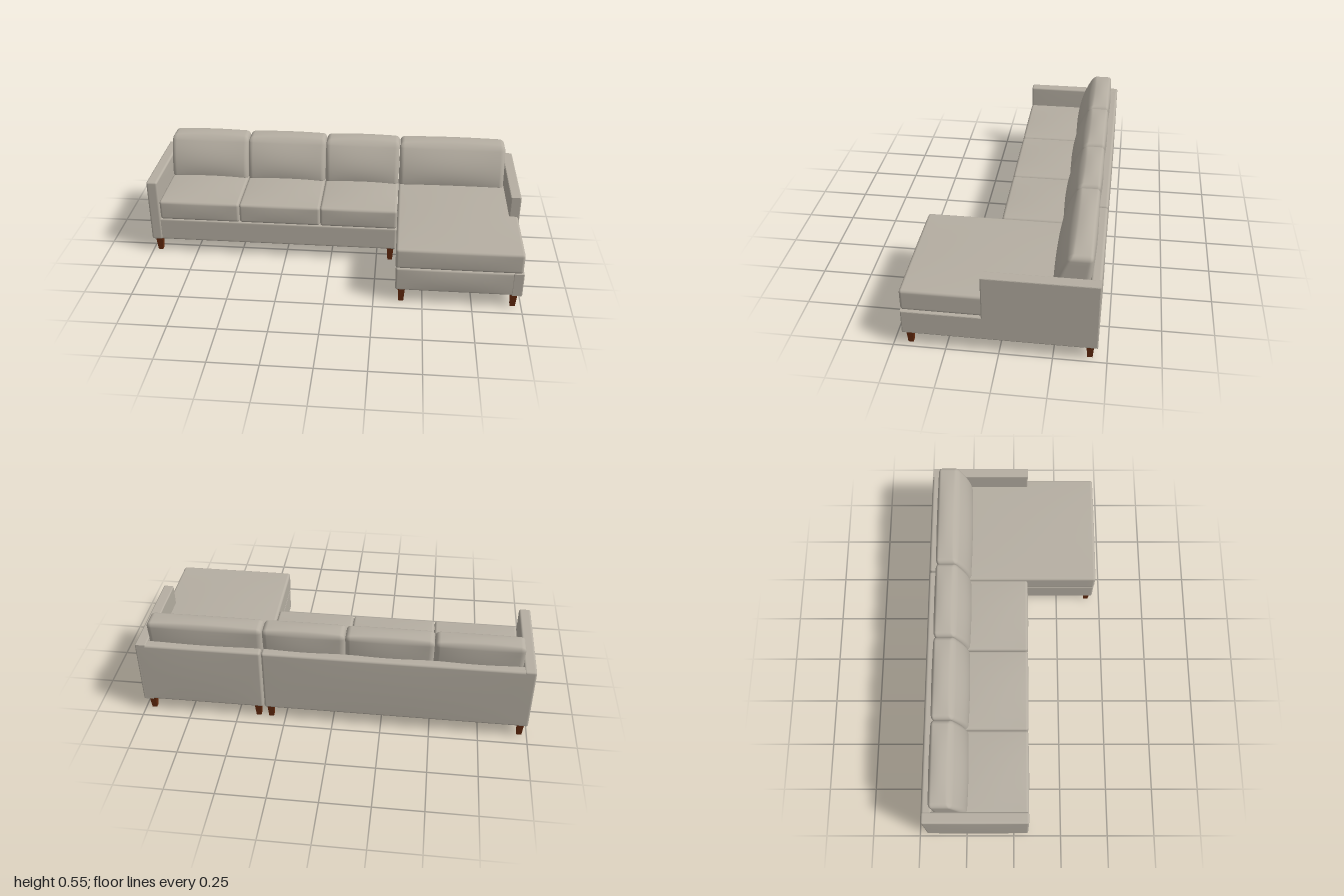
import * as THREE from 'three';
import { mergeVertices } from 'three/addons/utils/BufferGeometryUtils.js';

const fabric = new THREE.MeshStandardMaterial({ color: 0xb5aea2 });
fabric.name = 'warm grey fabric';
const wood = new THREE.MeshStandardMaterial({ color: 0x642a0e });
wood.name = 'brown wood';

// Soft box between two corners: rounded edges, then an optional bulge per axis.
function softBox([x0, x1], [y0, y1], [z0, z1], radius, bulge = [0, 0, 0], warp) {
  const half = new THREE.Vector3(x1 - x0, y1 - y0, z1 - z0).multiplyScalar(0.5);
  const box = new THREE.BoxGeometry(2, 2, 2, 20, 16, 20);
  box.deleteAttribute('uv');
  box.deleteAttribute('normal');
  const geo = mergeVertices(box);
  const pos = geo.attributes.position;
  const p = new THREE.Vector3(), inner = new THREE.Vector3(), d = new THREE.Vector3();
  const limit = half.clone().subScalar(radius);
  const low = limit.clone().negate();
  const segs = [20, 16, 20];
  // Three rows of the grid round each edge, the others spread over the flat part
  const spread = (u, h, n) => {
    const i = Math.round((Math.abs(u) * n) / 2), m = n / 2 - 3;
    const v = i <= m ? (i / m) * (h - radius)
      : h - radius + radius * Math.tan(((i - m) / 3) * Math.PI / 4);
    return Math.sign(u) * v;
  };
  for (let i = 0; i < pos.count; i++) {
    p.fromBufferAttribute(pos, i);
    p.set(spread(p.x, half.x, segs[0]), spread(p.y, half.y, segs[1]), spread(p.z, half.z, segs[2]));
    inner.copy(p).clamp(low, limit);
    d.subVectors(p, inner);
    if (d.lengthSq() > 1e-12) p.copy(inner).addScaledVector(d.normalize(), radius);
    const n = p.clone().divide(half);
    const fx = 1 - n.x * n.x, fy = 1 - n.y * n.y, fz = 1 - n.z * n.z;
    p.x += bulge[0] * n.x * fy * fz;
    p.y += bulge[1] * Math.max(n.y, 0) * fx * fz;
    p.z += bulge[2] * n.z * fx * fy;
    if (warp) warp(p, half);
    pos.setXYZ(i, p.x + (x0 + x1) / 2, p.y + (y0 + y1) / 2, p.z + (z0 + z1) / 2);
  }
  geo.computeVertexNormals();
  return geo;
}

// Leans the front of a back cushion and narrows it towards the top
function lean(p, half) {
  const t = (p.y + half.y) / (2 * half.y);
  const s = (p.z + half.z) / (2 * half.z);
  const back = -half.z + 0.012 - 0.018 * t;
  const front = half.z - 0.075 * t * t;
  p.z = back + (front - back) * s;
}

export function createModel() {
  const model = new THREE.Group();
  model.name = 'sectionalSofa';
  const add = (name, geo, material = fabric) => {
    const mesh = new THREE.Mesh(geo, material);
    mesh.name = name;
    model.add(mesh);
    return mesh;
  };

  // Sofa frame
  add('sofaBase', softBox([-0.99, 0.355], [0.077, 0.207], [-0.45, 0.072], 0.01));
  add('sofaBack', softBox([-0.995, 0.355], [0.077, 0.43], [-0.456, -0.405], 0.012, [0, 0, 0.003]));
  add('sofaArm', softBox([-0.997, -0.938], [0.077, 0.432], [-0.456, 0.076], 0.01, [0.003, 0, 0]));

  // Chaise frame
  add('chaiseBase', softBox([0.36, 0.985], [0.077, 0.207], [-0.45, 0.453], 0.01, [0, 0, 0.006]));
  add('chaiseBack', softBox([0.36, 0.992], [0.077, 0.43], [-0.456, -0.405], 0.012, [0, 0, 0.003]));

  // Chaise arm: stepped side panel, drawn as its side outline
  const side = new THREE.Shape();
  [[-0.45, 0.083], [0.449, 0.083], [0.449, 0.199], [0.074, 0.199], [0.074, 0.426], [-0.45, 0.426]]
    .forEach(([z, y], i) => (i ? side.lineTo(-z, y) : side.moveTo(-z, y)));
  side.closePath();
  const arm = new THREE.ExtrudeGeometry(side, {
    depth: 0.043, bevelThickness: 0.006, bevelSize: 0.006, bevelSegments: 3,
  });
  arm.rotateY(Math.PI / 2);
  arm.translate(0.948, 0, 0);
  add('chaiseArm', arm);

  // Seat and back cushions
  const seams = [-0.938, -0.499, -0.059, 0.356, 0.94];
  for (let i = 0; i < 4; i++) {
    const span = [seams[i] + 0.001, seams[i + 1] - 0.001];
    if (i < 3) {
      add('seatCushion', softBox(span, [0.207, 0.318], [-0.41, 0.076], 0.014, [0, 0.012, 0.004]));
    }
    add('backCushion', softBox(span, [0.3, 0.541], [-0.41, -0.235], 0.026, [0, 0.011, 0.014], lean));
  }
  add('chaiseCushion', softBox([0.357, 0.99], [0.207, 0.319], [-0.41, 0.455], 0.014, [0, 0.01, 0.004]));

  // Tapered square legs
  const leg = new THREE.CylinderGeometry(0.0185 * Math.SQRT2, 0.0125 * Math.SQRT2, 0.08, 4)
    .rotateY(Math.PI / 4).toNonIndexed();
  leg.computeVertexNormals();
  const spots = [[[-0.962, 0.325], [-0.42, 0.043]], [[0.392, 0.957], [-0.42, 0.422]]];
  for (const [xs, zs] of spots) {
    for (const x of xs) for (const z of zs) add('leg', leg, wood).position.set(x, 0.04, z);
  }
  return model;
}
